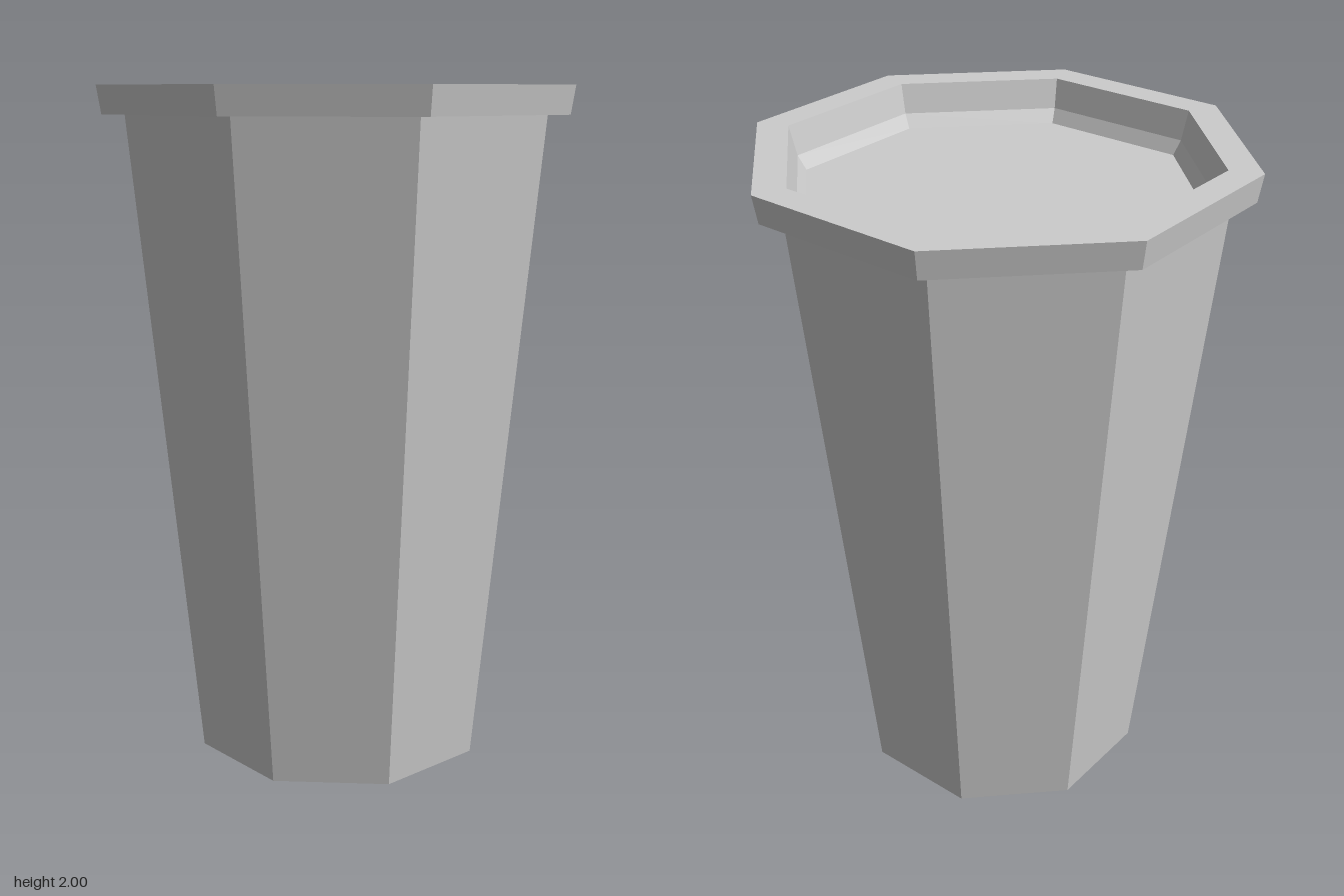
import * as THREE from 'three';

const SIDES = 8;

// Spins an outline of [radius, height] points into a faceted part
function facetedPart(name, outline, material) {
  const points = outline.map(([r, y]) => new THREE.Vector2(r, y));
  const geometry = new THREE.LatheGeometry(points, SIDES).toNonIndexed();
  geometry.computeVertexNormals();
  const mesh = new THREE.Mesh(geometry, material);
  mesh.name = name;
  return mesh;
}

export function createModel() {
  const model = new THREE.Group();
  model.name = 'cup';
  const material = new THREE.MeshStandardMaterial({ color: 0xcccccc, flatShading: true });

  // Closed base and tapered octagonal wall
  model.add(facetedPart('cupBody', [[0, 0], [0.445, 0], [0.635, 1.92]], material));

  // Overhanging rim, stepped inner wall and recessed top panel
  model.add(facetedPart('lid', [
    [0.635, 1.92], [0.7, 1.92], [0.713, 2], [0.618, 2],
    [0.597, 1.915], [0.573, 1.875], [0, 1.875],
  ], material));

  return model;
}
